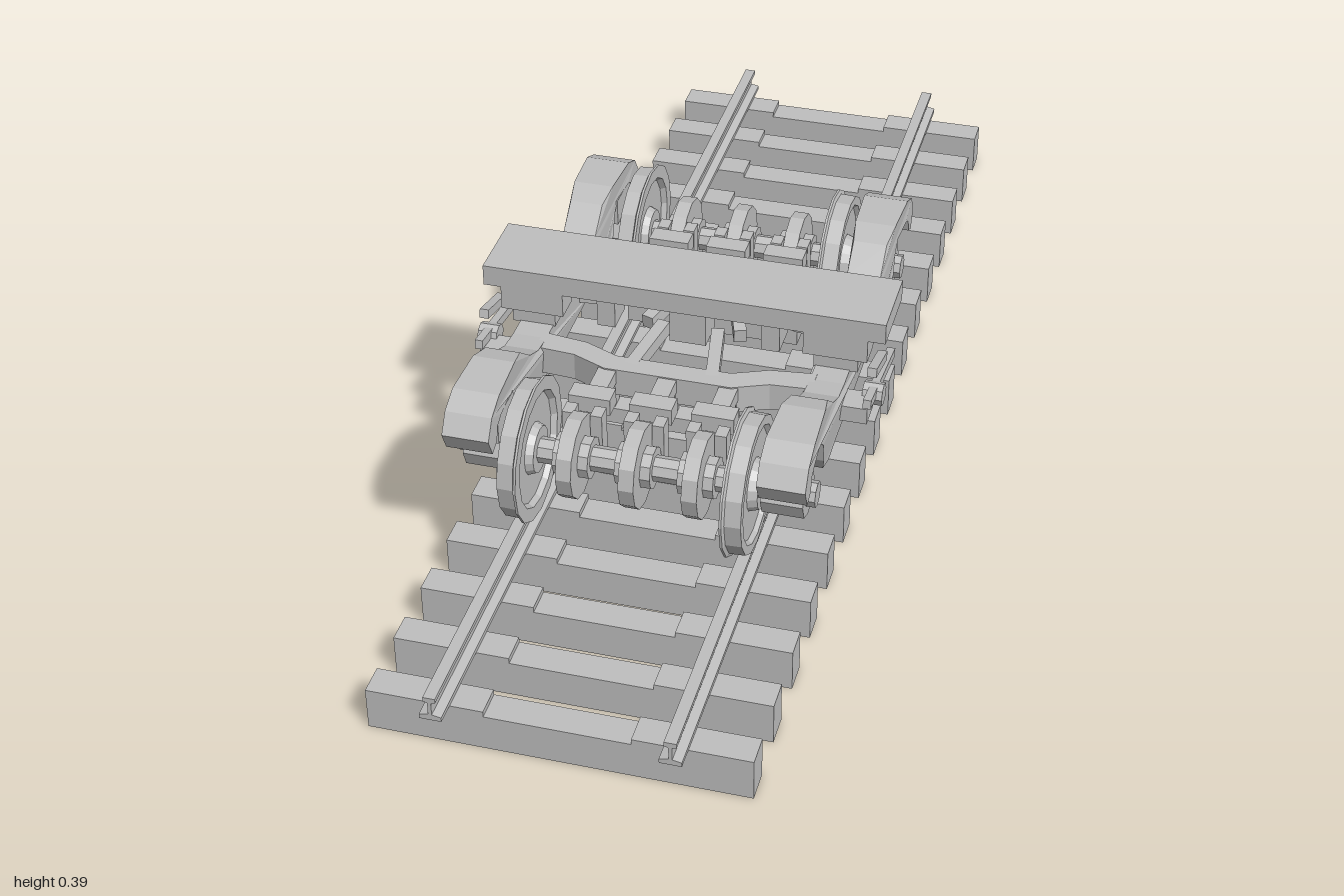
import * as THREE from 'three';

const steel = new THREE.MeshStandardMaterial({ color: 0xc0c0c0, flatShading: true });
steel.name = 'grey steel';

function add(parent, name, geometry, x = 0, y = 0, z = 0) {
  const m = new THREE.Mesh(geometry, steel);
  m.name = name;
  m.position.set(x, y, z);
  parent.add(m);
  return m;
}

// box given by its limits on each axis
function box(parent, name, x0, x1, y0, y1, z0, z1) {
  return add(parent, name, new THREE.BoxGeometry(x1 - x0, y1 - y0, z1 - z0),
    (x0 + x1) / 2, (y0 + y1) / 2, (z0 + z1) / 2);
}

const shapeOf = pts => new THREE.Shape(pts.map(p => new THREE.Vector2(p[0], p[1])));

// outline in (z, y), extruded from x0 to x1
function extrudeX(pts, x0, x1) {
  const g = new THREE.ExtrudeGeometry(shapeOf(pts), { depth: x1 - x0, bevelEnabled: false });
  return g.rotateY(-Math.PI / 2).translate(x1, 0, 0);
}

// outline in (x, z), extruded from y0 to y1
function extrudeY(pts, y0, y1) {
  const g = new THREE.ExtrudeGeometry(shapeOf(pts), { depth: y1 - y0, bevelEnabled: false });
  return g.rotateX(Math.PI / 2).translate(0, y1, 0);
}

// profile of [radius, x], turned about the x axis
function turnX(profile, sides) {
  const g = new THREE.LatheGeometry(profile.map(p => new THREE.Vector2(p[0], p[1])), sides);
  return g.rotateZ(-Math.PI / 2);
}

function rod(parent, name, r, x0, x1, y, z, sides = 8) {
  return add(parent, name, turnX([[0, x0], [r, x0], [r, x1], [0, x1]], sides), 0, y, z);
}

// bar of rectangular section between two points
function bar(parent, name, a, b, w, h) {
  const A = new THREE.Vector3(...a), B = new THREE.Vector3(...b);
  const m = add(parent, name, new THREE.BoxGeometry(w, h, A.distanceTo(B)));
  m.position.copy(A).add(B).multiplyScalar(0.5);
  m.lookAt(B);
  return m;
}

function buildTrack(root) {
  const track = new THREE.Group();
  track.name = 'track';
  root.add(track);
  // sleepers with a lowered middle
  const tie = [[-0.31, 0], [0.31, 0], [0.31, 0.075], [0.118, 0.075], [0.118, 0.065],
    [-0.118, 0.065], [-0.118, 0.075], [-0.31, 0.075]];
  const tieGeo = new THREE.ExtrudeGeometry(shapeOf(tie), { depth: 0.052, bevelEnabled: false });
  tieGeo.translate(0, 0, -0.026);
  for (let i = 0; i < 16; i++) add(track, 'sleeper', tieGeo, 0, 0, -0.9375 + i * 0.125);
  // rails: foot, web and head
  const half = [[0.018, 0.075], [0.018, 0.083], [0.003, 0.086], [0.003, 0.109], [0.01, 0.111], [0.01, 0.119]];
  const rail = [...half, ...half.map(([x, y]) => [-x, y]).reverse()];
  const railGeo = new THREE.ExtrudeGeometry(shapeOf(rail), { depth: 2, bevelEnabled: false });
  railGeo.translate(0, 0, -1);
  for (const s of [-1, 1]) add(track, 'rail', railGeo, s * 0.19, 0, 0);
}

const AXLE_Y = 0.235, AXLE_Z = 0.34;

function buildWheelset(parent, side) {
  const set = new THREE.Group();
  set.name = 'wheelset';
  set.position.z = side * AXLE_Z;
  parent.add(set);
  rod(set, 'axle', 0.022, -0.3, 0.3, AXLE_Y, 0);
  // wheels with a flange on the inside
  const wheel = turnX([[0, 0.165], [0.04, 0.165], [0.045, 0.178], [0.095, 0.178], [0.1, 0.168],
    [0.124, 0.168], [0.124, 0.172], [0.117, 0.175], [0.116, 0.202], [0.1, 0.202],
    [0.095, 0.194], [0.045, 0.194], [0.04, 0.21], [0, 0.21]], 16);
  for (const s of [-1, 1]) {
    const w = add(set, 'wheel', wheel, 0, AXLE_Y, 0);
    if (s < 0) w.rotation.y = Math.PI;
    // bearing and adapter on the axle end
    rod(set, 'bearing', 0.042, s < 0 ? -0.285 : 0.215, s < 0 ? -0.215 : 0.285, AXLE_Y, 0, 8);
    box(set, 'bearingAdapter', s * 0.252 - 0.03, s * 0.252 + 0.03, 0.265, 0.315, -0.04, 0.04);
  }
  // brake discs with calipers reaching inwards
  for (const x of [-0.105, 0, 0.105]) {
    rod(set, 'brakeDisc', 0.072, x - 0.013, x + 0.013, AXLE_Y, 0, 12);
    rod(set, 'discHub', 0.036, x - 0.03, x + 0.03, AXLE_Y, 0, 10);
    for (const s of [-1, 1]) {
      const c = x + s * 0.024;
      box(set, 'brakePad', c - 0.01, c + 0.01, 0.2, 0.29, -side * 0.052 - 0.014, -side * 0.052 + 0.014);
    }
    box(set, 'caliper', x - 0.036, x + 0.036, 0.265, 0.295, -side * 0.096 - 0.018, -side * 0.096 + 0.018);
    bar(set, 'caliperArm', [x, 0.275, -side * 0.09], [x, 0.262, -side * 0.2], 0.032, 0.025);
  }
}

function buildTruck(root) {
  const truck = new THREE.Group();
  truck.name = 'truck';
  truck.position.z = 0.17;
  root.add(truck);
  for (const s of [-1, 1]) buildWheelset(truck, s);

  // side frames arching over both axle ends
  const half = [[0.1, 0.282], [0.145, 0.287], [0.185, 0.305], [0.235, 0.345], [0.28, 0.358],
    [0.37, 0.356], [0.41, 0.338], [0.432, 0.305], [0.415, 0.27], [0.392, 0.28], [0.385, 0.305],
    [0.365, 0.315], [0.31, 0.313], [0.288, 0.295], [0.278, 0.255], [0.255, 0.222], [0.21, 0.207], [0.15, 0.21]];
  const outline = [...half, ...half.map(([z, y]) => [-z, y]).reverse()];
  const frameGeo = extrudeX(outline, -0.036, 0.036);
  // taper the frame: broad at the ends, slimmer along the middle
  const p = frameGeo.attributes.position;
  for (let i = 0; i < p.count; i++) {
    const z = Math.abs(p.getZ(i));
    p.setX(i, p.getX(i) * (z > 0.35 ? 1.1 : z > 0.26 ? 1 : 0.82));
  }
  frameGeo.computeVertexNormals();
  for (const s of [-1, 1]) {
    add(truck, 'sideFrame', frameGeo, s * 0.26, 0, 0);
    // supports between the frame and the bolster
    box(truck, 'springSeat', s * 0.265 - 0.038, s * 0.265 + 0.038, 0.28, 0.312, -0.06, 0.06);
    box(truck, 'springBlock', s * 0.265 - 0.055, s * 0.265 + 0.055, 0.308, 0.353, 0.018, 0.068);
    box(truck, 'rearStop', s * 0.265 - 0.05, s * 0.265 + 0.05, 0.28, 0.36, -0.072, -0.052);
    box(truck, 'innerBracket', s * 0.145 - 0.016, s * 0.145 + 0.016, 0.275, 0.353, -0.03, 0.03);
    // outside hanger with its lever
    const x = s * 0.337;
    bar(truck, 'hanger', [x, 0.353, 0.055], [x, 0.262, 0.075], 0.016, 0.016);
    bar(truck, 'hangerLever', [x, 0.274, -0.06], [x, 0.252, 0.145], 0.014, 0.016);
    rod(truck, 'hangerJoint', 0.02, x - 0.017, x + 0.017, 0.262, 0.085, 8);
    box(truck, 'hangerArm', s * 0.31 - 0.027, s * 0.31 + 0.027, 0.236, 0.266, 0.09, 0.14);
    bar(truck, 'lowerLever', [s * 0.25, 0.213, 0.05], [s * 0.25, 0.19, 0.105], 0.03, 0.02);
  }

  // bowed cross members tying the side frames together
  const bow = [[-0.24, 0.085], [-0.16, 0.095], [-0.1, 0.12], [0.1, 0.12], [0.16, 0.095], [0.24, 0.085],
    [0.24, 0.13], [0.17, 0.135], [0.11, 0.16], [-0.11, 0.16], [-0.17, 0.135], [-0.24, 0.13]];
  for (const s of [-1, 1]) {
    const beam = add(truck, 'crossMember', extrudeY(bow, 0.232, 0.283));
    if (s < 0) beam.rotation.y = Math.PI;
    box(truck, 'brakeBeam', -0.155, 0.155, 0.178, 0.208, s * 0.15 - 0.018, s * 0.15 + 0.018);
    for (const x of [-0.105, 0, 0.105]) {
      box(truck, 'brakeBeamLink', x - 0.014, x + 0.014, 0.19, 0.25, s * 0.15 - 0.012, s * 0.15 + 0.012);
    }
    // diagonal struts to the pivot
    for (const t of [-1, 1]) {
      bar(truck, 'pivotStrut', [t * 0.1, 0.262, s * 0.13], [t * 0.02, 0.285, s * 0.02], 0.022, 0.025);
    }
  }

  // bolster and centre pivot
  box(truck, 'bolster', -0.35, 0.35, 0.352, 0.39, -0.069, 0.069);
  box(truck, 'centrePivot', -0.032, 0.032, 0.265, 0.353, -0.03, 0.03);
}

export function createModel() {
  const root = new THREE.Group();
  root.name = 'railTruckOnTrack';
  buildTrack(root);
  buildTruck(root);
  return root;
}
